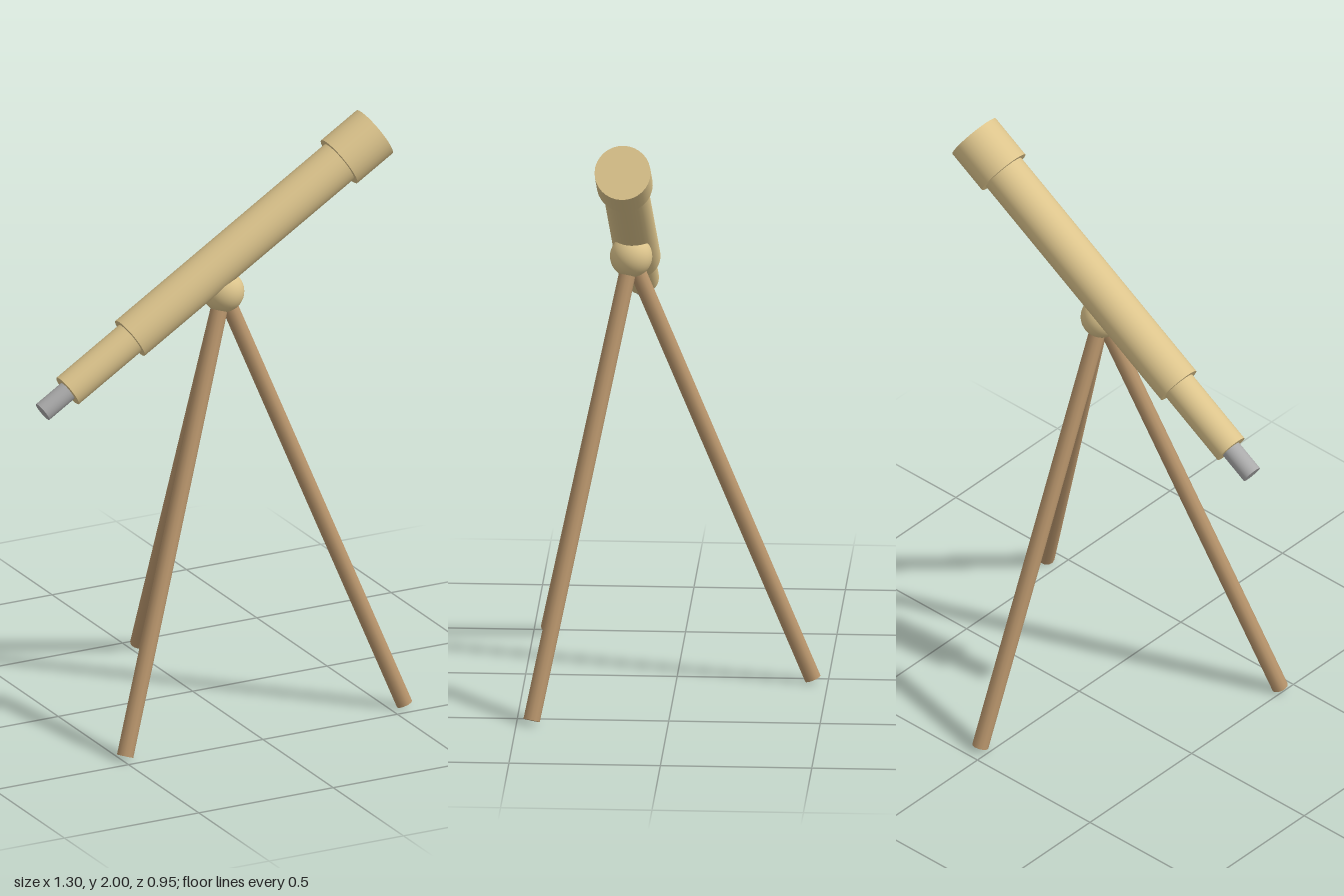
import * as THREE from 'three';

export function createModel() {
  const model = new THREE.Group();
  model.name = 'telescope';

  const brass = new THREE.MeshStandardMaterial({ name: 'brass', color: 0xdcc48c });
  const wood = new THREE.MeshStandardMaterial({ name: 'wood', color: 0xb8956c });
  const metal = new THREE.MeshStandardMaterial({ name: 'greyMetal', color: 0xaaaaaa });

  const up = new THREE.Vector3(0, 1, 0);

  // Solid cylinder running from point a to point b
  function rod(name, a, b, radius, sides, material) {
    const dir = b.clone().sub(a);
    const mesh = new THREE.Mesh(
      new THREE.CylinderGeometry(radius, radius, dir.length(), sides), material);
    mesh.name = name;
    mesh.position.copy(a).add(b).multiplyScalar(0.5);
    mesh.quaternion.setFromUnitVectors(up, dir.normalize());
    model.add(mesh);
  }

  // Optical tube: stepped sections along one tilted axis
  const onAxis = (x) => new THREE.Vector3(x, 1.545 + 0.6235 * x, 0.147);
  [
    ['eyepiece', -0.635, -0.53, 0.034, metal],
    ['drawTube', -0.542, -0.3, 0.057, brass],
    ['mainTube', -0.31, 0.48, 0.075, brass],
    ['lensHood', 0.468, 0.6, 0.0925, brass],
  ].forEach(([name, x0, x1, radius, material]) =>
    rod(name, onAxis(x0), onAxis(x1), radius, 32, material));

  // Ball mount under the tube
  const hub = new THREE.Vector3(0.035, 1.458, 0.15);
  const ball = new THREE.Mesh(new THREE.SphereGeometry(0.07, 32, 20), brass);
  ball.name = 'ballMount';
  ball.position.copy(hub);
  model.add(ball);

  // Tripod: one leg to the back, two splayed to the front
  const names = ['backLeg', 'leftFrontLeg', 'rightFrontLeg'];
  names.forEach((name, i) => {
    const angle = Math.PI + i * Math.PI * 2 / 3 * -1;
    const foot = new THREE.Vector3(
      hub.x - 0.002 + Math.sin(angle) * 0.6, 0.0105, hub.z + Math.cos(angle) * 0.6);
    rod(name, foot, hub, 0.0275, 12, wood);
  });

  return model;
}
